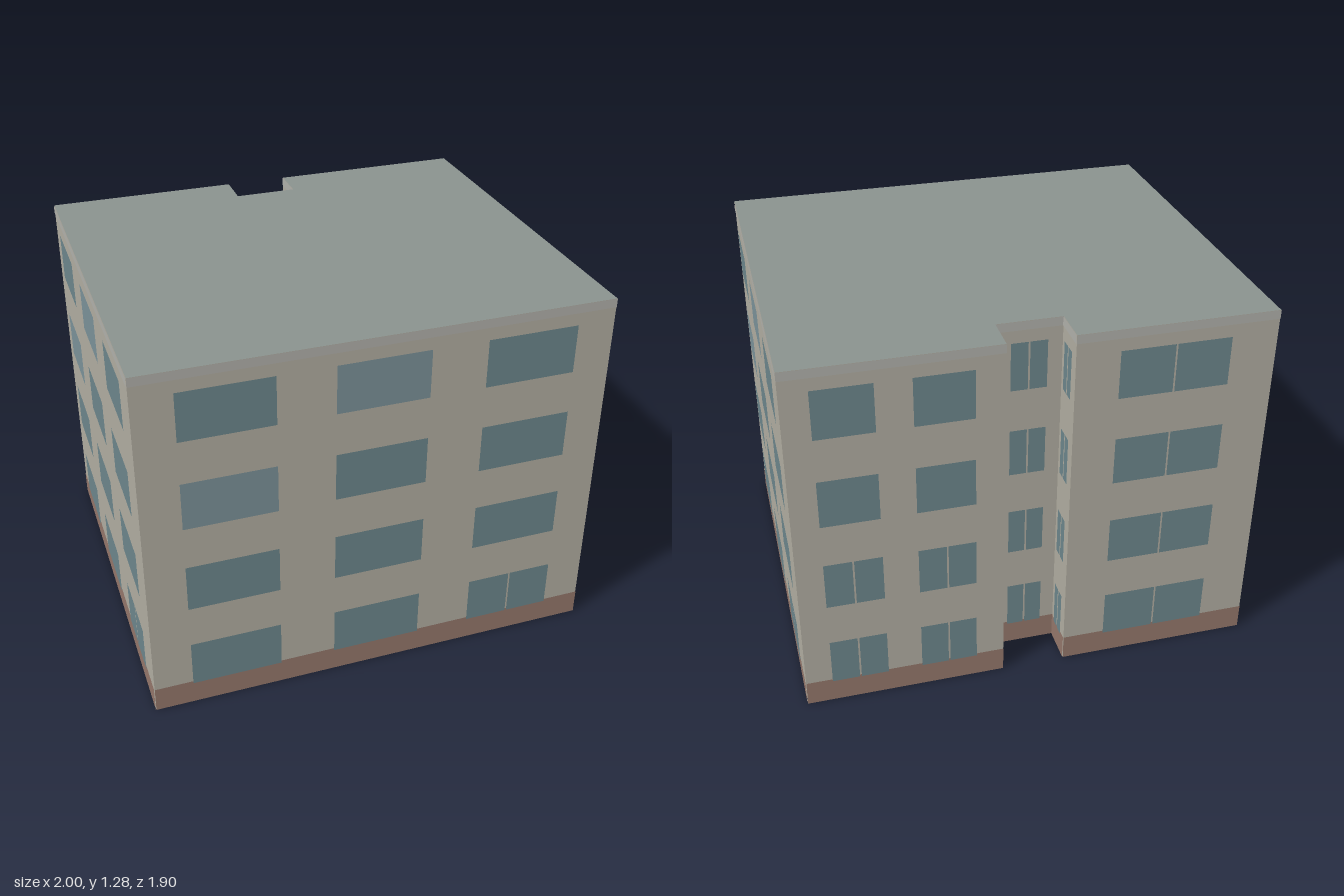
import * as THREE from 'three';

const HEIGHT = 1.285, PLINTH = 0.09, TRIM = 0.03;
const FLOORS = 4, PITCH = 0.32, SILL = 0.083, WIN_H = 0.17;

const mat = (color, side = THREE.FrontSide) => new THREE.MeshStandardMaterial({ color, side });
const plaster = mat(0xb0aca0, THREE.DoubleSide);
const brick = mat(0x93766a);
const trim = mat(0xb0afaa);
const glass = mat(0x6c858b);
const paleGlass = mat(0x7a9198);
const roofing = mat(0x8a928e, THREE.DoubleSide);

// Upright rectangle from x0 to x1 and y0 to y1, set "out" in front of its wall
function panel(name, material, x0, x1, y0, y1, out) {
  const mesh = new THREE.Mesh(new THREE.PlaneGeometry(x1 - x0, y1 - y0), material);
  mesh.position.set((x0 + x1) / 2, (y0 + y1) / 2, out);
  mesh.name = name;
  return mesh;
}

// Footprint corners [x, z], counter-clockwise from above, with a recess in the back
const corners = [
  [-0.786, 0.675], [0.786, 0.675], [0.786, -0.675], [0.102, -0.675],
  [0.102, -0.545], [-0.117, -0.545], [-0.117, -0.675], [-0.786, -0.675],
];

// Per wall: window centres and width as fractions of its length; split(row, column) = two panes
const lastOnGround = (row, col) => row === 0 && col === 2;
const main = { centres: [0.182, 0.5, 0.818], width: 0.197, split: lastOnGround };
const recess = { centres: [0.5], width: 0.55, split: () => true };
const walls = [
  { name: 'frontWall', ...main },
  { name: 'leftWall', ...main },
  { name: 'backWallLeft', centres: [0.27, 0.72], width: 0.28, split: (row) => row < 2 },
  { name: 'recessSideLeft', ...recess },
  { name: 'recessBack', ...recess },
  { name: 'recessSideRight', ...recess },
  { name: 'backWallRight', centres: [0.49], width: 0.55, split: () => true },
  { name: 'rightWall', ...main },
];

function buildWall(spec, [ax, az], [bx, bz]) {
  const wall = new THREE.Group();
  wall.name = spec.name;
  wall.position.set(ax, 0, az);
  wall.rotation.y = Math.atan2(az - bz, bx - ax);
  const length = Math.hypot(bx - ax, bz - az);

  wall.add(panel('plaster', plaster, 0, length, 0, HEIGHT, 0));
  wall.add(panel('plinth', brick, 0, length, 0, PLINTH, 0.002));
  wall.add(panel('roofTrim', trim, 0, length, HEIGHT - TRIM, HEIGHT, 0.002));

  // Window grid
  for (let row = 0; row < FLOORS; row++) {
    const y0 = SILL + row * PITCH, y1 = y0 + WIN_H;
    spec.centres.forEach((c, col) => {
      const pale = spec.centres.length === 3 && ((row === 3 && col === 1) || (row === 2 && col === 0));
      const material = pale ? paleGlass : glass;
      const mid = c * length, half = spec.width * length / 2;
      if (spec.split(row, col)) {
        const gap = 0.003;
        wall.add(panel('windowPane', material, mid - half, mid - gap, y0, y1, 0.004));
        wall.add(panel('windowPane', material, mid + gap, mid + half, y0, y1, 0.004));
      } else {
        wall.add(panel('window', material, mid - half, mid + half, y0, y1, 0.004));
      }
    });
  }
  return wall;
}

export function createModel() {
  const model = new THREE.Group();
  model.name = 'apartmentBlock';

  // The block stands turned on its plot
  const building = new THREE.Group();
  building.name = 'building';
  building.rotation.y = THREE.MathUtils.degToRad(25.4);
  model.add(building);

  walls.forEach((spec, i) => {
    building.add(buildWall(spec, corners[i], corners[(i + 1) % corners.length]));
  });

  // Flat roof over the whole footprint; the underside stays open
  const outline = new THREE.Shape(corners.map(([x, z]) => new THREE.Vector2(x, -z)));
  const roof = new THREE.Mesh(new THREE.ShapeGeometry(outline).rotateX(-Math.PI / 2), roofing);
  roof.position.y = HEIGHT;
  roof.name = 'roof';
  building.add(roof);

  return model;
}
